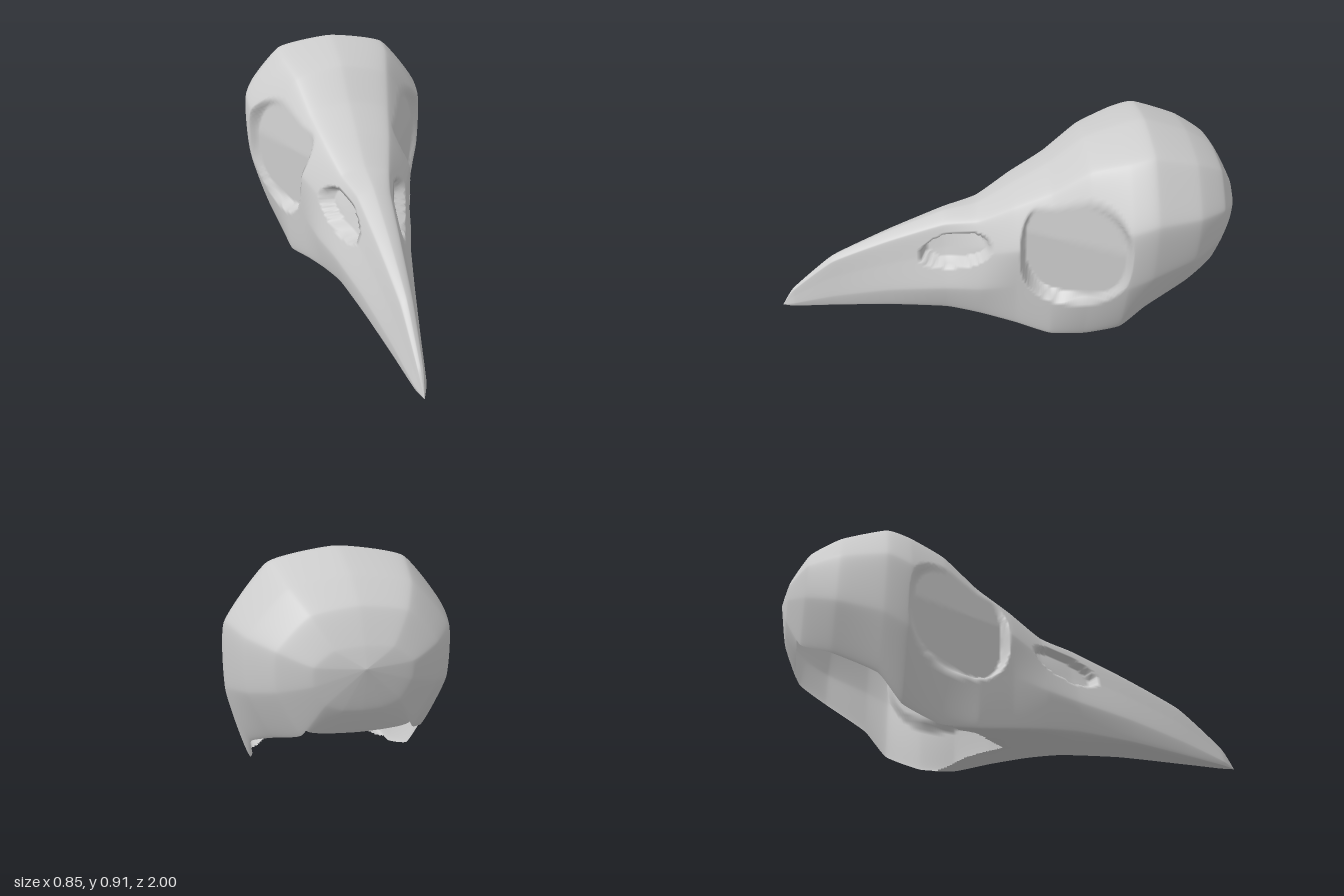
import * as THREE from 'three';
import { mergeVertices } from 'three/addons/utils/BufferGeometryUtils.js';

// Stations from beak tip to back of the head:
// z, crown y, half-width, y of widest point, jaw x, jaw y, underside y
const STATIONS = [
  [1.0, 0.015, 0, 0.015, 0, 0.015, 0.015],
  [0.94, 0.11, 0.025, 0.04, 0.022, 0.022, 0.02],
  [0.75, 0.28, 0.06, 0.1, 0.055, 0.045, 0.03],
  [0.5, 0.4, 0.11, 0.16, 0.1, 0.07, 0.05],
  [0.25, 0.5, 0.166, 0.2, 0.145, 0.08, 0.045],
  [0.1, 0.535, 0.21, 0.22, 0.185, 0.065, 0.04],
  [-0.05, 0.63, 0.245, 0.25, 0.23, 0.04, 0.035],
  [-0.2, 0.72, 0.297, 0.25, 0.28, 0.01, 0.035],
  [-0.35, 0.84, 0.352, 0.3, 0.29, 0.008, 0.05],
  [-0.5, 0.895, 0.41, 0.35, 0.32, 0.065, 0.11],
  [-0.6, 0.915, 0.414, 0.4, 0.33, 0.18, 0.2],
  [-0.78, 0.855, 0.367, 0.45, 0.275, 0.27, 0.26],
  [-0.9, 0.78, 0.285, 0.49, 0.2, 0.325, 0.305],
  [-0.97, 0.665, 0.17, 0.53, 0.13, 0.46, 0.43],
  [-1.0, 0.59, 0, 0.59, 0, 0.59, 0.59],
];
const RING = 192; // points around
const STEP = 16; // rows between two stations
const TENSION = 0.25; // keeps the curves close to their chords
const { lerp, smoothstep } = THREE.MathUtils;

// Closed mirrored section: domed at the head, roof-shaped along the beak
function sectionCurve([z, top, width, wideY, jawX, jawY, under]) {
  const beak = smoothstep(z, -0.1, 0.25);
  const half = [
    [0, top],
    [width * lerp(0.6, 0.43, beak), lerp(top, wideY, 0.09)],
    [width * lerp(1, 0.69, beak), lerp(top, wideY, 0.5)],
    [width, wideY],
    [jawX, jawY],
    [jawX * 0.55, lerp(jawY, under, 0.8)],
    [0, under],
  ];
  const left = half.map(([x, y]) => new THREE.Vector3(x, y, z));
  const right = half.slice(1, 6).reverse().map(([x, y]) => new THREE.Vector3(-x, y, z));
  return new THREE.CatmullRomCurve3([...left, ...right], true, 'catmullrom', TENSION);
}

// 1 inside a rounded outline in the side plane, falling to 0 at its rim
function mask(p, cz, cy, rz, ry, tilt, power) {
  const dz = p.z - cz, dy = p.y - cy - tilt * dz;
  const d = Math.abs(dz / rz) ** power + Math.abs(dy / ry) ** power;
  return 1 - smoothstep(d, 0.84, 1.04);
}

// Sink the eye sockets to a slanted floor and hollow the nostrils
function carve(p) {
  const side = Math.sign(p.x);
  let x = Math.abs(p.x);
  const floor = 0.185 + (-0.1 - p.z) * 0.5 - 0.15 * Math.max(0, p.y - 0.5);
  x += (Math.min(x, floor) - x) * mask(p, -0.287, 0.455, 0.215, 0.24, -0.12, 2.5);
  x -= Math.min(x * 0.6, 0.05) * mask(p, 0.2, 0.375, 0.145, 0.068, -0.25, 2.2);
  p.x = side * x;
  return p;
}

function skullGeometry() {
  const sections = STATIONS.map(sectionCurve);
  const rows = (STATIONS.length - 1) * STEP;

  // Smooth lengthwise through the sections
  const lines = Array.from({ length: RING }, (_, k) => new THREE.CatmullRomCurve3(
    sections.map((curve) => curve.getPoint(k / RING)), false, 'catmullrom', TENSION));
  const positions = [], index = [];
  for (let v = 0; v <= rows; v++) {
    for (const line of lines) {
      const p = carve(line.getPoint(v / rows));
      positions.push(p.x, Math.max(0, p.y), p.z);
    }
  }

  // Faces, leaving the base of the head open behind a V-shaped palate edge
  for (let v = 0; v < rows; v++) {
    for (let k = 0; k < RING; k++) {
      const a = v * RING + k, b = v * RING + ((k + 1) % RING);
      const x = Math.abs(positions[a * 3] + positions[b * 3]) / 2;
      const z = positions[a * 3 + 2];
      const underside = k >= RING / 3 && k < (RING * 2) / 3;
      if (underside && v < 12 * STEP + 4 && x < 1.15 * (-0.04 - z)) continue;
      if (v > 0) index.push(a, b, a + RING);
      if (v < rows - 1) index.push(b, b + RING, a + RING);
    }
  }
  const geometry = new THREE.BufferGeometry();
  geometry.setAttribute('position', new THREE.Float32BufferAttribute(positions, 3));
  geometry.setIndex(index);
  const merged = mergeVertices(geometry, 1e-5);
  merged.computeVertexNormals();
  return merged;
}

export function createModel() {
  const group = new THREE.Group();
  group.name = 'birdSkull';
  const bone = new THREE.MeshStandardMaterial({ color: 0xcccccc, side: THREE.DoubleSide });
  bone.name = 'bone';
  const skull = new THREE.Mesh(skullGeometry(), bone);
  skull.name = 'skull';
  group.add(skull);
  return group;
}
